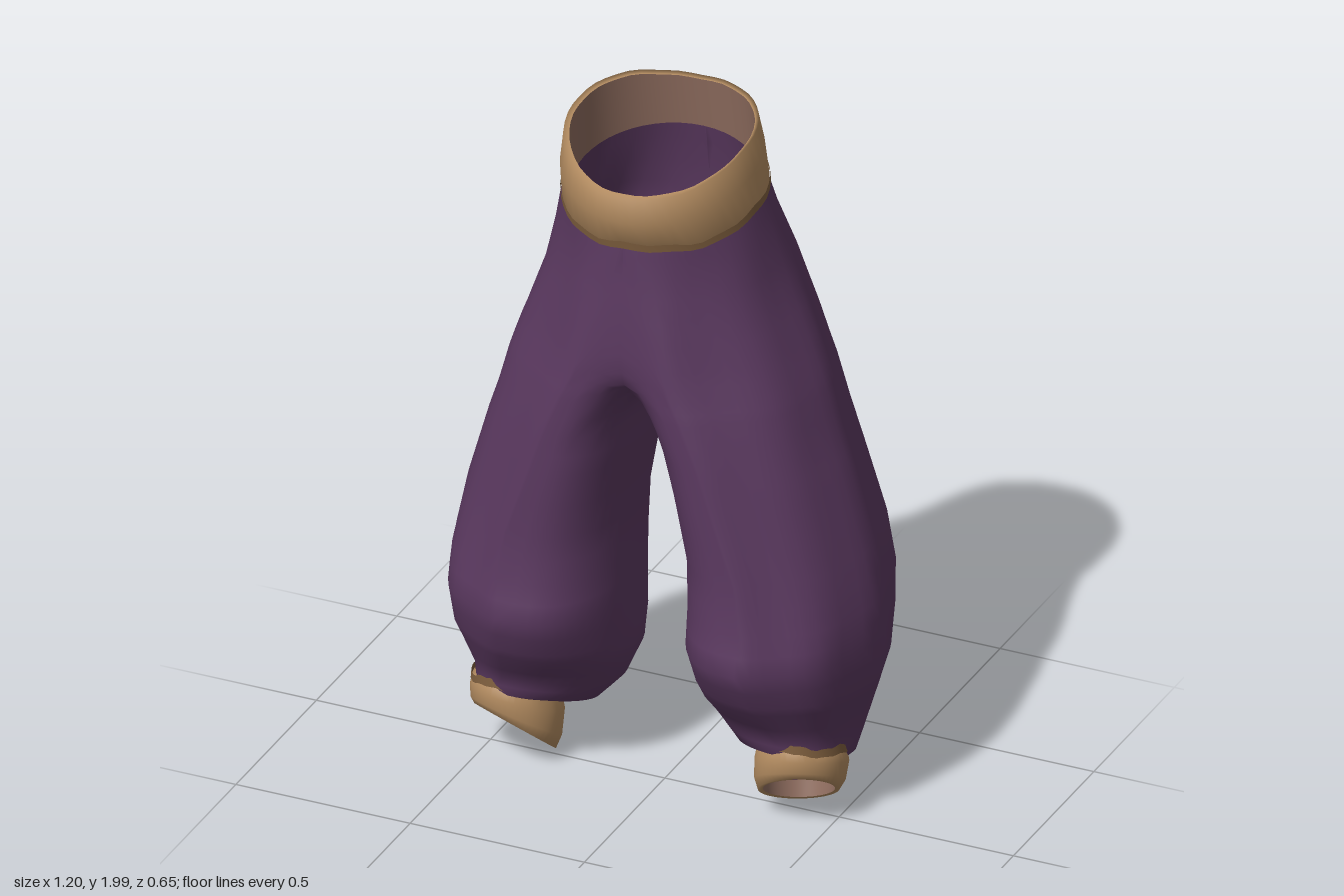
import * as THREE from 'three';
import { mergeVertices, mergeGeometries } from 'three/addons/utils/BufferGeometryUtils.js';

const SEG = 48;
const flat = (name, color, side = THREE.FrontSide) => {
  const m = new THREE.MeshStandardMaterial({ color, side });
  m.name = name;
  return m;
};

// Skin closed rings: top to bottom gives an outward surface, bottom to top an inward one.
// Faces lying wholly on the centre plane are dropped when open is set.
function loft(rings, mirror = 1, open = false) {
  const pos = [], idx = [];
  const n = rings[0].length;
  rings.forEach(r => r.forEach(p => pos.push(p[0] * mirror, p[1], p[2])));
  const tri = (a, b, c) => {
    if (open && [a, b, c].every(k => Math.abs(pos[k * 3]) < 1e-5)) return;
    if (mirror > 0) idx.push(a, b, c); else idx.push(a, c, b);
  };
  for (let i = 0; i < rings.length - 1; i++) {
    for (let j = 0; j < n; j++) {
      const a = i * n + j, b = i * n + (j + 1) % n;
      tri(a, b, a + n);
      tri(b, b + n, a + n);
    }
  }
  const g = new THREE.BufferGeometry();
  g.setAttribute('position', new THREE.Float32BufferAttribute(pos, 3));
  g.setIndex(idx);
  g.computeVertexNormals();
  return g;
}

// Tilted ellipse: centre x, half width, back z, front z, height,
// slopes along z and x, raggedness, arch along z
function ellipse(cx, rx, zb, zf, y, tz = 0, tx = 0, ragged = 0, arch = 0) {
  const cz = (zb + zf) / 2, rz = (zf - zb) / 2, ring = [];
  for (let j = 0; j < SEG; j++) {
    const a = j / SEG * Math.PI * 2 - Math.PI / 2;
    const x = rx * Math.cos(a), z = cz + rz * Math.sin(a);
    const wave = ragged * (Math.sin(a * 5 + 1) + 0.6 * Math.sin(a * 13));
    ring.push([cx + x, y + tz * z + tx * x + wave - arch * z * z, z]);
  }
  return ring;
}

// Half-garment sections: y, fullest x, inner reach, outer x, back z, front z, slope, bagginess
const LEG = [
  [1.80, 0, 0, 0.267, -0.25, 0.258, -0.2, 0],
  [1.66, 0.03, 0.2, 0.298, -0.285, 0.268, -0.1, 0.5],
  [1.53, 0.07, 0.28, 0.332, -0.318, 0.28, -0.03, 0.8],
  [1.38, 0.11, 0.24, 0.39, -0.318, 0.287, 0, 1],
  [1.30, 0.14, 0.19, 0.42, -0.315, 0.29, 0, 1],
  [1.24, 0.17, 0.17, 0.44, -0.315, 0.292, 0, 1],
  [1.12, 0.22, 0.17, 0.472, -0.315, 0.294, 0, 1],
  [1.00, 0.26, 0.185, 0.51, -0.318, 0.295, 0, 1],
  [0.80, 0.33, 0.22, 0.565, -0.322, 0.298, 0, 1.1],
  [0.66, 0.35, 0.235, 0.592, -0.324, 0.31, 0, 1.1],
  [0.55, 0.35, 0.235, 0.595, -0.325, 0.33, 0, 1],
  [0.43, 0.36, 0.245, 0.588, -0.32, 0.275, 0.03, 0.7],
  [0.36, 0.37, 0.25, 0.565, -0.295, 0.23, 0.08, 0.5],
  [0.27, 0.39, 0.23, 0.535, -0.24, 0.172, 0.2, 0.25],
  [0.20, 0.40, 0.18, 0.522, -0.18, 0.158, 0.3, 0],
  [0.18, 0.41, 0.10, 0.508, -0.075, 0.145, 0.38, 0],
];

function legRing([y, xm, ri, xo, zb, zf, slope, baggy], side) {
  const cz = (zb + zf) / 2, rz = (zf - zb) / 2, ring = [];
  const inner = side < 0 && y < 1.1 ? ri * 1.08 : ri;
  const chamfer = 0.3 + 0.35 * THREE.MathUtils.smoothstep(y, 0.55, 0.85);
  for (let j = 0; j < SEG; j++) {
    const a = j / SEG * Math.PI * 2 - Math.PI / 2;
    const c = Math.cos(a), s = Math.sin(a);
    const fold = 0.03 * baggy * Math.sqrt(Math.max(0, c));
    const k = 1 + fold * (Math.cos(8 * a + y * 1.5) - 0.3);
    // Squarer at the back and inside, flatter at the outer front
    const power = 1 + baggy * (c < 0 ? -0.25 : s < 0 ? -0.45 : chamfer);
    const reach = Math.pow(Math.abs(c), power) * k;
    const x = Math.max(0, c < 0 ? xm - inner * reach : xm + (xo - xm) * reach);
    let z = cz + rz * s * k;
    if (side < 0) z *= 1 - 0.25 * baggy * Math.min(x, 0.4);
    ring.push([x < 1e-6 ? 0 : x, y + slope * z, z]);
  }
  return ring;
}

// Insert a halfway section between each pair
const refine = rows => rows.flatMap((r, i) =>
  i ? [r.map((v, k) => (v + rows[i - 1][k]) / 2), r] : [r]);

// Relax the cloth around the crotch into a soft saddle
function softenCrotch(g, passes) {
  const p = g.attributes.position, ix = g.index;
  const near = Array.from({ length: p.count }, () => new Set());
  for (let i = 0; i < ix.count; i += 3) {
    const t = [ix.getX(i), ix.getX(i + 1), ix.getX(i + 2)];
    t.forEach(a => t.forEach(b => { if (a !== b) near[a].add(b); }));
  }
  const v = Array.from({ length: p.count }, (_, i) => new THREE.Vector3().fromBufferAttribute(p, i));
  for (let n = 0; n < passes; n++) {
    const next = v.map((q, i) => {
      if (!near[i].size || Math.abs(q.x) > 0.11 || q.y < 1.12 || q.y > 1.66) return q;
      const mean = new THREE.Vector3();
      near[i].forEach(j => mean.addScaledVector(v[j], 1 / near[i].size));
      return q.clone().lerp(mean, 0.5);
    });
    next.forEach((q, i) => { v[i] = q; });
  }
  v.forEach((q, i) => p.setXYZ(i, q.x, q.y, q.z));
}

export function createModel() {
  const group = new THREE.Group();
  group.name = 'baggyTrousers';
  const purple = flat('purpleCloth', 0x5b3960, THREE.DoubleSide);
  const tan = flat('tanCloth', 0xb68e62);
  const trim = flat('darkTanTrim', 0x80603f, THREE.DoubleSide);
  const lining = flat('brownLining', 0x8f6d5f);
  const add = (name, geometry, material) => {
    const mesh = new THREE.Mesh(geometry, material);
    mesh.name = name;
    group.add(mesh);
  };

  // Both halves of the cloth, welded along the centre seam
  const halves = [1, -1].map(side => {
    const g = loft(refine(LEG).map(row => legRing(row, side)), side, true);
    g.deleteAttribute('normal');
    return g;
  });
  const cloth = mergeVertices(mergeGeometries(halves), 1e-4);
  softenCrotch(cloth, 8);
  cloth.computeVertexNormals();
  add('legs', cloth, purple);

  // Waistband: higher at the back, leaning forward
  const bandRim = ellipse(0.008, 0.242, -0.208, 0.277, 1.98, -0.17, 0, 0.002, 0.6);
  add('waistband', loft([
    bandRim,
    ellipse(0.006, 0.254, -0.225, 0.297, 1.985, -0.17, 0, 0.002, 0.6),
    ellipse(0.006, 0.266, -0.243, 0.3, 1.9, -0.2, 0, 0, 0.3),
    ellipse(0.004, 0.273, -0.26, 0.268, 1.785, -0.22, 0, 0.004),
    ellipse(0.004, 0.255, -0.235, 0.245, 1.785, -0.22, 0, 0.004),
  ]), tan);
  add('waistbandLining', loft([
    ellipse(0.004, 0.25, -0.232, 0.242, 1.785, -0.22),
    bandRim,
  ]), lining);
  add('waistbandTrim', loft([
    ellipse(0.004, 0.275, -0.261, 0.274, 1.799, -0.22, 0, 0.006),
    ellipse(0.004, 0.276, -0.264, 0.27, 1.777, -0.22, 0, 0.004),
  ]), trim);

  // Ankle cuffs: openings face down, forward and slightly outward
  for (const side of [1, -1]) {
    const label = side > 0 ? 'left' : 'right';
    const rim = ellipse(0.407, 0.094, -0.046, 0.142, 0.062, 0.75, 0.35);
    const liningTop = ellipse(0.407, 0.097, -0.06, 0.142, 0.105, 0.55, 0.3);
    add(label + 'Cuff', loft([
      ellipse(0.412, 0.098, -0.08, 0.145, 0.228, 0.3, 0, 0.004),
      ellipse(0.412, 0.112, -0.092, 0.158, 0.222, 0.3, 0, 0.004),
      ellipse(0.408, 0.122, -0.1, 0.165, 0.165, 0.42, 0.15),
      ellipse(0.407, 0.119, -0.08, 0.164, 0.1, 0.6, 0.25),
      ellipse(0.407, 0.107, -0.055, 0.154, 0.06, 0.75, 0.35),
      rim,
    ], side), tan);
    add(label + 'CuffLining', loft([rim, liningTop], side), lining);
    add(label + 'CuffInside', loft([
      liningTop,
      ellipse(0.409, 0.097, -0.07, 0.14, 0.2, 0.3),
    ], side), purple);
    add(label + 'CuffTrim', loft([
      ellipse(0.412, 0.114, -0.094, 0.16, 0.236, 0.3, 0, 0.005),
      ellipse(0.411, 0.117, -0.097, 0.162, 0.212, 0.3, 0, 0.003),
    ], side), trim);
  }
  return group;
}
